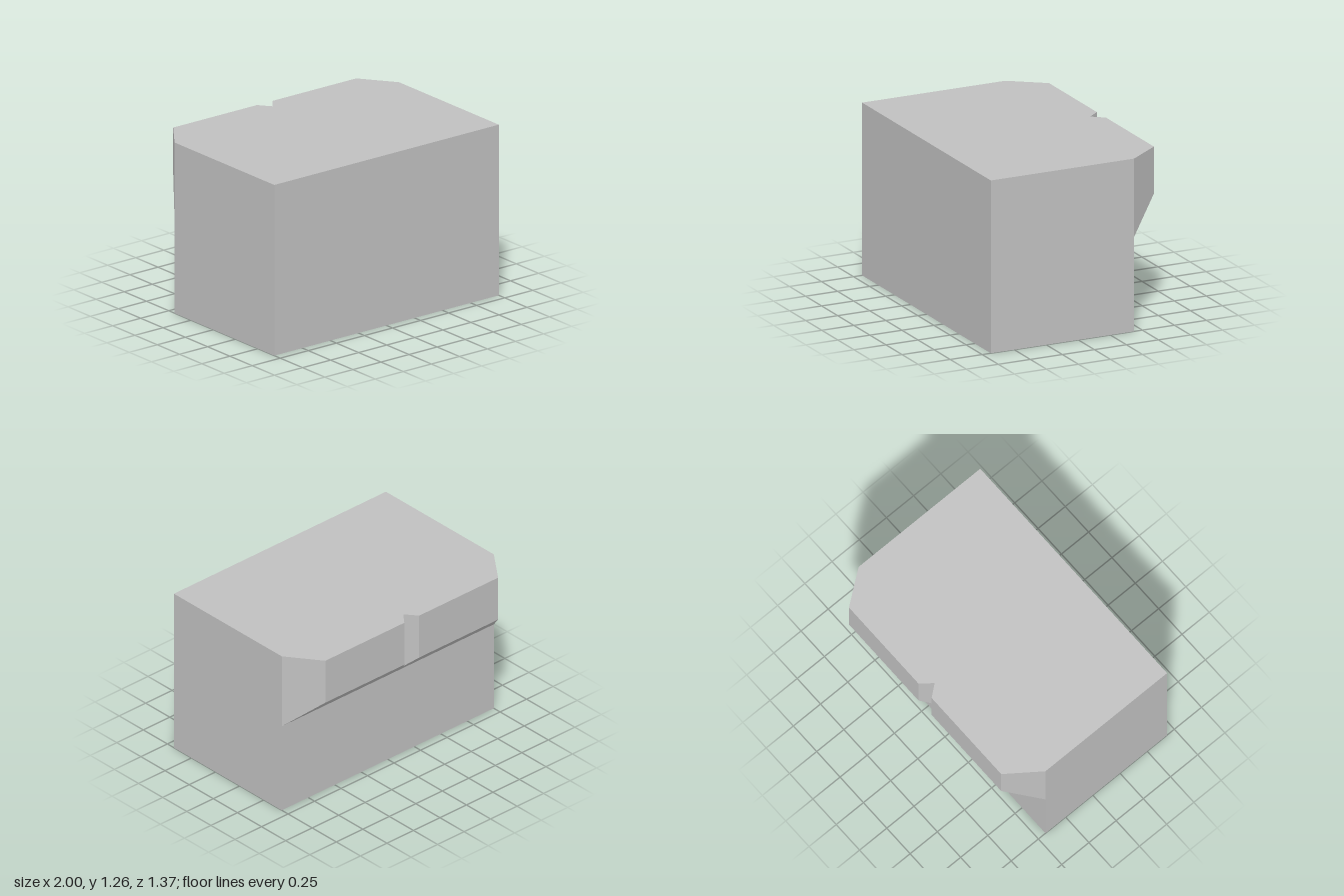
import * as THREE from 'three';

const TOP = 1.265, FRONT = 0.683, BACK = -0.435, LIP = -0.683, WALL = 0.06;

// Extrude a plan outline given as [x, z] points upward from y = 0
function extrudePlan(points, height, holes = []) {
  const toVec = ([x, z]) => new THREE.Vector2(x, -z);
  const shape = new THREE.Shape(points.map(toVec));
  for (const hole of holes) shape.holes.push(new THREE.Path(hole.map(toVec)));
  const geometry = new THREE.ExtrudeGeometry(shape, { depth: height, bevelEnabled: false });
  return geometry.rotateX(-Math.PI / 2);
}

const rect = (x0, x1, z0, z1) => [[x0, z1], [x1, z1], [x1, z0], [x0, z0]];

export function createModel() {
  const model = new THREE.Group();
  model.name = 'hollowBlock';
  const grey = new THREE.MeshStandardMaterial({ color: 0xc0c0c0 });
  grey.name = 'light grey';

  const add = (name, geometry, y = 0) => {
    const mesh = new THREE.Mesh(geometry, grey);
    mesh.name = name;
    mesh.position.y = y;
    model.add(mesh);
  };

  // Outer walls and two inner ribs, open at the bottom
  const cavities = [[-0.94, -0.115], [-0.057, 0.057], [0.115, 0.94]]
    .map(([x0, x1]) => rect(x0, x1, BACK + WALL, FRONT - WALL));
  add('wallsAndRibs', extrudePlan(rect(-1, 1, BACK, FRONT), TOP - WALL, cavities));

  // Closed top
  add('topPlate', extrudePlan(rect(-1, 1, BACK, FRONT), WALL), TOP - WALL);

  // Rear overhang: chamfered corners, central notch, underside sloping up to the back
  const lipBottom = 0.69;
  const lip = extrudePlan([
    [-1, BACK], [1, BACK], [0.815, LIP], [0.07, LIP],
    [0, -0.595], [-0.07, LIP], [-0.815, LIP],
  ], TOP - lipBottom);
  const pos = lip.attributes.position;
  for (let i = 0; i < pos.count; i++) {
    if (pos.getY(i) < 0.01) pos.setY(i, (BACK - pos.getZ(i)) * 0.93);
  }
  lip.computeVertexNormals();
  add('rearOverhang', lip, lipBottom);

  return model;
}
